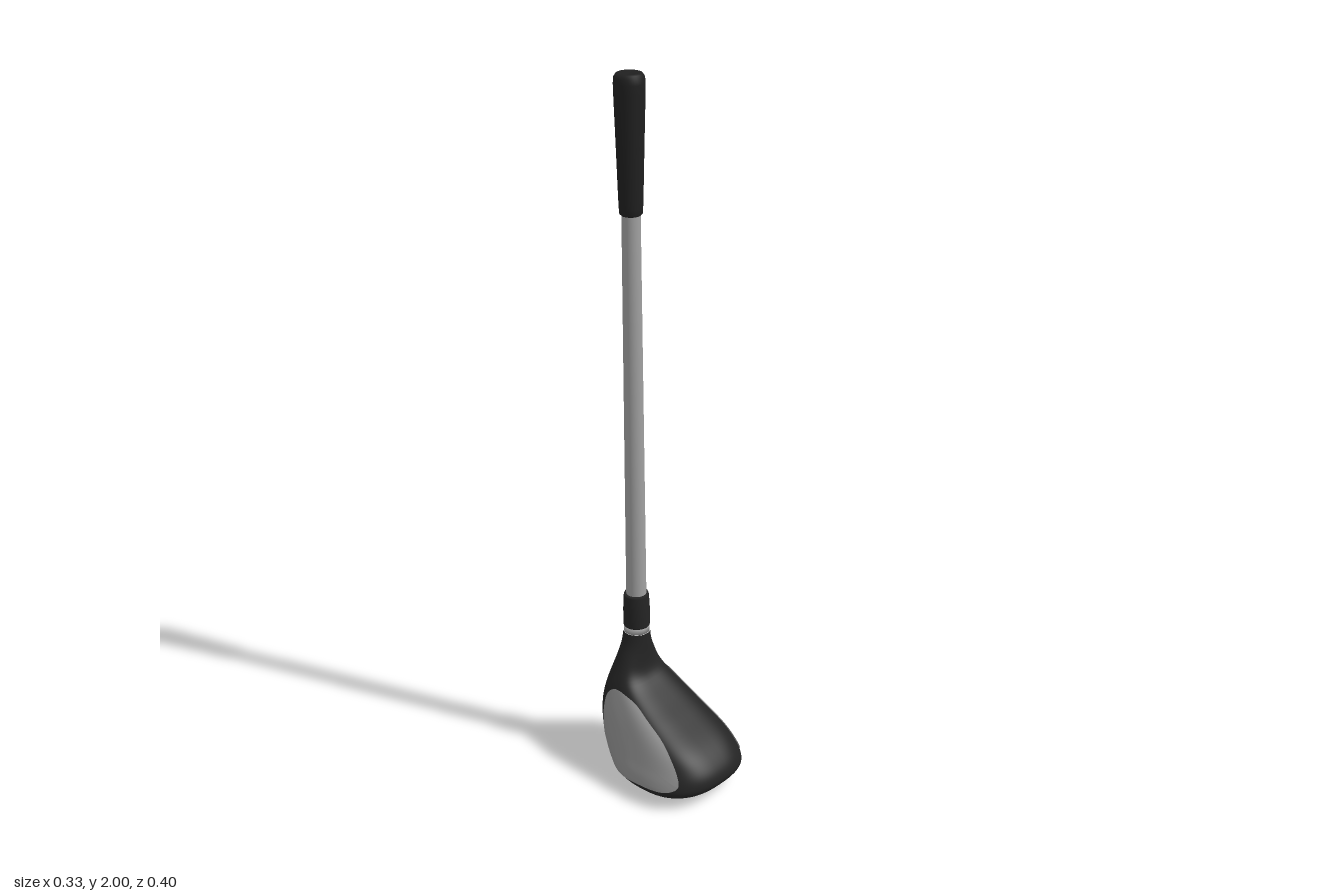
import * as THREE from 'three';

const mat = (name, color, side = THREE.FrontSide) => {
  const m = new THREE.MeshStandardMaterial({ color, side });
  m.name = name;
  return m;
};

// Head cross-sections by height: [y, half width, back z, front z, squareness]
const SECTIONS = [
  [0.002, 0.05, -0.03, 0.035, 2.2],
  [0.012, 0.1, -0.065, 0.1, 2.3],
  [0.03, 0.147, -0.105, 0.165, 2.5],
  [0.05, 0.161, -0.138, 0.192, 2.6],
  [0.075, 0.158, -0.16, 0.2, 2.6],
  [0.11, 0.146, -0.18, 0.183, 2.8],
  [0.15, 0.133, -0.191, 0.14, 3.1],
  [0.2, 0.117, -0.195, 0.058, 3.3],
  [0.24, 0.103, -0.192, -0.008, 3.3],
  [0.28, 0.088, -0.184, -0.064, 3],
  [0.31, 0.075, -0.178, -0.083, 2.6],
  [0.35, 0.059, -0.17, -0.088, 2.2],
  [0.385, 0.045, -0.165, -0.088, 2],
  [0.42, 0.037, -0.162, -0.088, 2],
];

// Smooth interpolation of one section column at height y
function column(y, c) {
  const S = SECTIONS, last = S.length - 1;
  let i = 0;
  while (i < last - 1 && y > S[i + 1][0]) i++;
  const slope = (k) => {
    const a = S[Math.max(k - 1, 0)], b = S[Math.min(k + 1, last)];
    return (b[c] - a[c]) / (b[0] - a[0]);
  };
  const h = S[i + 1][0] - S[i][0];
  const t = THREE.MathUtils.clamp((y - S[i][0]) / h, 0, 1);
  const t2 = t * t, t3 = t2 * t;
  return (2 * t3 - 3 * t2 + 1) * S[i][c] + (t3 - 2 * t2 + t) * h * slope(i)
    + (3 * t2 - 2 * t3) * S[i + 1][c] + (t3 - t2) * h * slope(i + 1);
}

function section(y) {
  const back = column(y, 2), front = column(y, 3);
  return { w: column(y, 1), zc: (back + front) / 2, d: (front - back) / 2, n: column(y, 4) };
}

function build(pos, index) {
  const g = new THREE.BufferGeometry();
  g.setAttribute('position', new THREE.Float32BufferAttribute(pos, 3));
  g.setIndex(index);
  g.computeVertexNormals();
  return g;
}

// Head: superellipse sections lofted from sole to neck
function headGeometry(rows = 60, segs = 96) {
  const pos = [], index = [];
  for (let i = 0; i <= rows; i++) {
    const y = 0.002 + 0.418 * Math.pow(i / rows, 1.5);
    const { w, zc, d, n } = section(y);
    for (let j = 0; j < segs; j++) {
      const a = (j / segs) * Math.PI * 2, c = Math.cos(a), s = Math.sin(a);
      pos.push(w * Math.sign(c) * Math.abs(c) ** (2 / n), y, zc + d * Math.sign(s) * Math.abs(s) ** (2 / n));
    }
  }
  for (let i = 0; i < rows; i++) {
    for (let j = 0; j < segs; j++) {
      const a = i * segs + j, b = i * segs + ((j + 1) % segs);
      index.push(a, a + segs, b, b, a + segs, b + segs);
    }
  }
  const sole = pos.length / 3;
  pos.push(0, 0, 0.003);
  for (let j = 0; j < segs; j++) index.push(sole, j, (j + 1) % segs);
  return build(pos, index);
}

// Side panel: rounded outline in (z, y), laid just over the head surface
function panelGeometry(side, rings = 16, segs = 80) {
  const outline = new THREE.CatmullRomCurve3([
    [0.146, 0.08], [0.135, 0.11], [0.09, 0.16], [0.0, 0.22], [-0.065, 0.258],
    [-0.12, 0.27], [-0.145, 0.25], [-0.151, 0.2], [-0.14, 0.135], [-0.105, 0.085],
    [-0.06, 0.056], [0.04, 0.055], [0.125, 0.063],
  ].map(([z, y]) => new THREE.Vector3(0, y, z)), true).getSpacedPoints(segs);
  const pos = [], index = [];
  for (let i = 0; i <= rings; i++) {
    for (let j = 0; j <= segs; j++) {
      const t = i / rings;
      const y = THREE.MathUtils.lerp(0.15, outline[j].y, t);
      const z = THREE.MathUtils.lerp(-0.02, outline[j].z, t);
      const { w, zc, d, n } = section(y);
      const u = Math.min(Math.abs((z - zc) / d), 0.99);
      pos.push(side * (w * (1 - u ** n) ** (1 / n) + 0.004), y, z);
    }
  }
  for (let i = 0; i < rings; i++) {
    for (let j = 0; j < segs; j++) {
      const a = i * (segs + 1) + j, b = a + segs + 1;
      if (side > 0) index.push(a, b + 1, b, a, a + 1, b + 1);
      else index.push(a, b, b + 1, a, b + 1, a + 1);
    }
  }
  // Wind the faces outward
  for (let k = 0; k < index.length; k += 3) {
    const [p, q, r] = [0, 1, 2].map((m) => new THREE.Vector3().fromArray(pos, index[k + m] * 3));
    if (q.sub(p).cross(r.sub(p)).x * side < 0) [index[k + 1], index[k + 2]] = [index[k + 2], index[k + 1]];
  }
  return build(pos, index);
}

const lathe = (points) =>
  new THREE.LatheGeometry(points.map(([r, y]) => new THREE.Vector2(r, y)), 40);

export function createModel() {
  const club = new THREE.Group();
  club.name = 'golfClub';
  const headBlack = mat('headBlack', 0x242424);
  const gripBlack = mat('gripBlack', 0x202020);
  const steel = mat('shaftSteel', 0xa0a0a0);
  const panelGrey = mat('panelGrey', 0x8e8e8e, THREE.DoubleSide);

  const add = (parent, name, geometry, material) => {
    const m = new THREE.Mesh(geometry, material);
    m.name = name;
    parent.add(m);
    return m;
  };

  add(club, 'head', headGeometry(), headBlack);
  add(club, 'leftPanel', panelGeometry(1), panelGrey);
  add(club, 'rightPanel', panelGeometry(-1), panelGrey);

  // Everything above the neck shares one slightly leaning axis
  const upper = new THREE.Group();
  upper.name = 'shaftAssembly';
  upper.position.set(0, 0.42, -0.125);
  upper.rotation.x = -0.006;
  club.add(upper);

  add(upper, 'neckRing', lathe([[0, 0], [0.036, 0], [0.036, 0.02], [0, 0.02]]), steel);
  add(upper, 'ferrule', lathe([
    [0, 0.018], [0.036, 0.018], [0.037, 0.022], [0.037, 0.07], [0.035, 0.112], [0.033, 0.118], [0, 0.118],
  ]), headBlack);
  add(upper, 'shaft', new THREE.CylinderGeometry(0.0245, 0.028, 1.14, 40).translate(0, 0.66, 0), steel);

  // Grip flares toward a rounded butt end with a shallow dimple
  add(upper, 'grip', lathe([
    [0, 1.215], [0.026, 1.215], [0.03, 1.219], [0.031, 1.235], [0.032, 1.26], [0.036, 1.4],
    [0.04, 1.53], [0.0405, 1.555], [0.039, 1.57], [0.034, 1.578], [0.025, 1.58], [0.012, 1.577], [0, 1.576],
  ]), gripBlack);
  return club;
}
